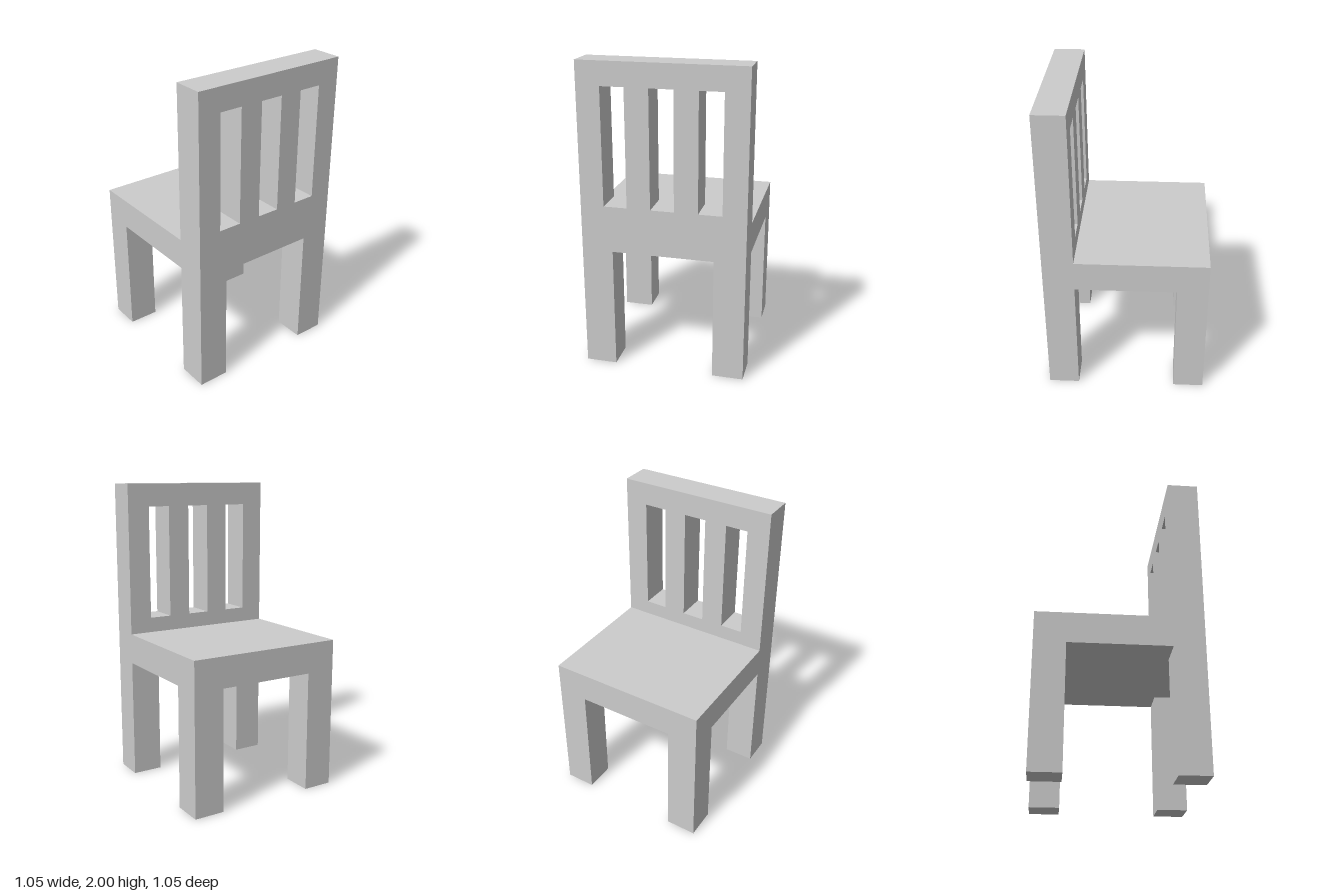
import * as THREE from 'three';

const HALF = 0.525;       // half of the chair's width and depth
const THICK = 0.2;        // thickness of legs, seat and backrest
const SEAT_BOTTOM = 0.8;
const SEAT_TOP = 1.0;
const HEIGHT = 2.0;

// Traces an axis-aligned rectangle on a Shape or Path
function rect(path, x0, y0, x1, y1) {
  path.moveTo(x0, y0);
  path.lineTo(x1, y0);
  path.lineTo(x1, y1);
  path.lineTo(x0, y1);
  path.closePath();
  return path;
}

export function createModel() {
  const chair = new THREE.Group();
  chair.name = 'chair';
  const material = new THREE.MeshStandardMaterial({ color: 0xcccccc, flatShading: true });

  const add = (name, geometry, x, y, z) => {
    const mesh = new THREE.Mesh(geometry, material);
    mesh.name = name;
    mesh.position.set(x, y, z);
    chair.add(mesh);
  };

  // Seat slab, ending where it meets the backrest
  const seatDepth = 2 * HALF - THICK;
  add('seat', new THREE.BoxGeometry(2 * HALF, SEAT_TOP - SEAT_BOTTOM, seatDepth),
    0, (SEAT_BOTTOM + SEAT_TOP) / 2, -THICK / 2);

  // Backrest panel with three upright slots, on the +z side
  const panel = rect(new THREE.Shape(), -HALF, SEAT_BOTTOM, HALF, HEIGHT);
  for (const x of [-0.3, 0, 0.3]) {
    panel.holes.push(rect(new THREE.Path(), x - 0.075, 1.1, x + 0.075, 1.85));
  }
  add('backrest', new THREE.ExtrudeGeometry(panel, { depth: THICK, bevelEnabled: false }),
    0, 0, HALF - THICK);

  // Four square legs at the corners
  const legGeometry = new THREE.BoxGeometry(THICK, SEAT_BOTTOM, THICK);
  const inset = HALF - THICK / 2;
  for (const sx of [-1, 1]) {
    for (const sz of [-1, 1]) {
      const name = (sx > 0 ? 'left' : 'right') + (sz > 0 ? 'BackrestLeg' : 'SeatLeg');
      add(name, legGeometry, sx * inset, SEAT_BOTTOM / 2, sz * inset);
    }
  }
  return chair;
}
